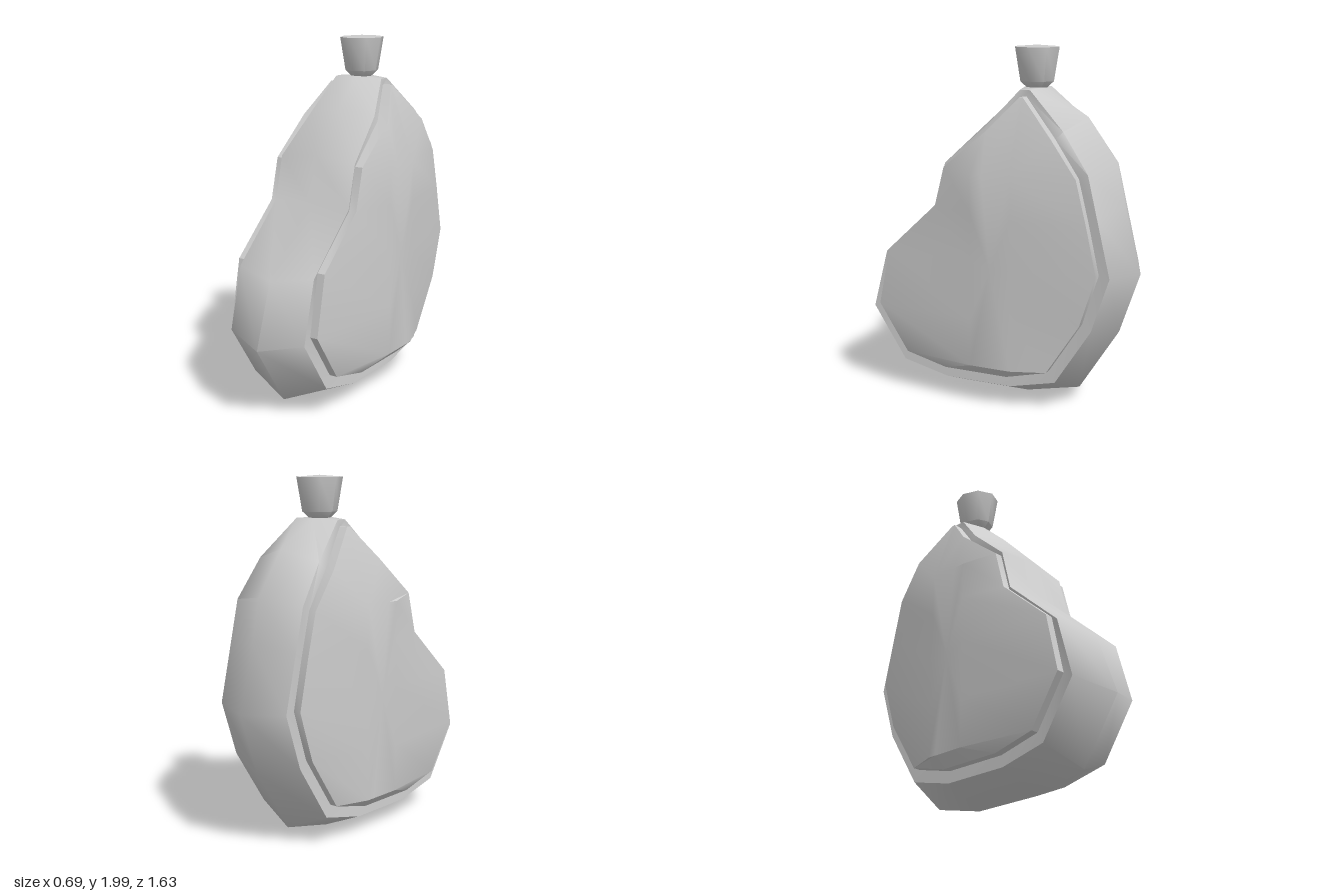
import * as THREE from 'three';
import { toCreasedNormals } from 'three/addons/utils/BufferGeometryUtils.js';

const material = new THREE.MeshStandardMaterial({ color: 0xcccccc });

// Outlines as [z, y], running along the bottom, up the back, over the top, down the front
const ridge = [
  [0.27, 0.01], [-0.15, 0.01], [-0.47, 0.08], [-0.70, 0.44], [-0.815, 0.78], [-0.72, 1.15], [-0.67, 1.38], [-0.5, 1.62],
  [-0.25, 1.775], [-0.13, 1.775], [0.04, 1.62], [0.27, 1.38], [0.33, 1.13], [0.70, 0.78], [0.82, 0.43], [0.59, 0.08],
];
const panel = [
  [0.24, 0.18], [-0.14, 0.18], [-0.38, 0.24], [-0.57, 0.53], [-0.66, 0.81], [-0.60, 1.08], [-0.54, 1.32], [-0.40, 1.52],
  [-0.20, 1.73], [-0.18, 1.73], [-0.02, 1.55], [0.24, 1.34], [0.30, 1.11], [0.60, 0.84], [0.67, 0.51], [0.49, 0.24],
];
// The shoulder line lies between ridge and panel
const shoulder = ridge.map(([z, y], i) => [
  THREE.MathUtils.lerp(z, panel[i][0], 0.6),
  i === 8 || i === 9 ? 1.765 : THREE.MathUtils.lerp(y, panel[i][1], 0.6),
]);

const ring = (outline, x) => outline.map(([z, y], i) => [typeof x === 'function' ? x(i, y) : x, y, z]);
const mirror = (rings) => rings.map((r) => r.map(([x, y, z]) => [-x, y, z])).reverse();

// Skin over matching rings ordered from -x to +x
function skin(rings, crease) {
  const n = rings[0].length;
  const index = [];
  for (let i = 0; i < rings.length - 1; i++) {
    for (let j = 0; j < n; j++) {
      const a = i * n + j, b = i * n + (j + 1) % n;
      index.push(a, b, b + n, a, b + n, a + n);
    }
  }
  const geometry = new THREE.BufferGeometry();
  geometry.setAttribute('position', new THREE.Float32BufferAttribute(rings.flat(2), 3));
  geometry.setIndex(index);
  return toCreasedNormals(geometry, crease);
}

function addMesh(group, name, geometry) {
  const mesh = new THREE.Mesh(geometry, material);
  mesh.name = name;
  group.add(mesh);
  return mesh;
}

export function createModel() {
  const group = new THREE.Group();
  group.name = 'flask';

  // Central body: ridged band narrowing towards the neck
  const narrow = (i, y) => 0.24 - 0.09 * THREE.MathUtils.smoothstep(y, 1.45, 1.765);
  const half = [ring(shoulder, narrow), ring(panel, (i, y) => narrow(i, y) - 0.005)];
  addMesh(group, 'body', skin([...mirror(half), ring(ridge, 0), ...half], 1.1));

  // Bulging side panels with a flat vertical crown
  const clamp = THREE.MathUtils.clamp;
  const crown = panel.map(([z, y]) => [clamp(z, -0.19, 0.05), clamp(y, 0.24, 1.32)]);
  const side = [
    ring(panel, (i, y) => (y > 1.7 ? 0.1 : 0.2)),
    ring(panel, (i, y) => (y > 1.7 ? 0.2 : 0.28)),
    ring(crown, 0.345),
    ring(panel.map(() => [-0.07, 0.8]), 0.345),
  ];
  addMesh(group, 'leftPanel', skin(side, 0.6));
  addMesh(group, 'rightPanel', skin(mirror(side), 0.6));

  // Eight-sided flared stopper
  const profile = [[0, 1.74], [0.055, 1.765], [0.1, 1.805], [0.132, 1.99], [0, 2.0]]
    .map(([r, y]) => new THREE.Vector2(r, y));
  const stopper = addMesh(group, 'stopper', toCreasedNormals(new THREE.LatheGeometry(profile, 8), 0.9));
  stopper.scale.x = 0.92;
  stopper.position.z = -0.195;

  return group;
}
